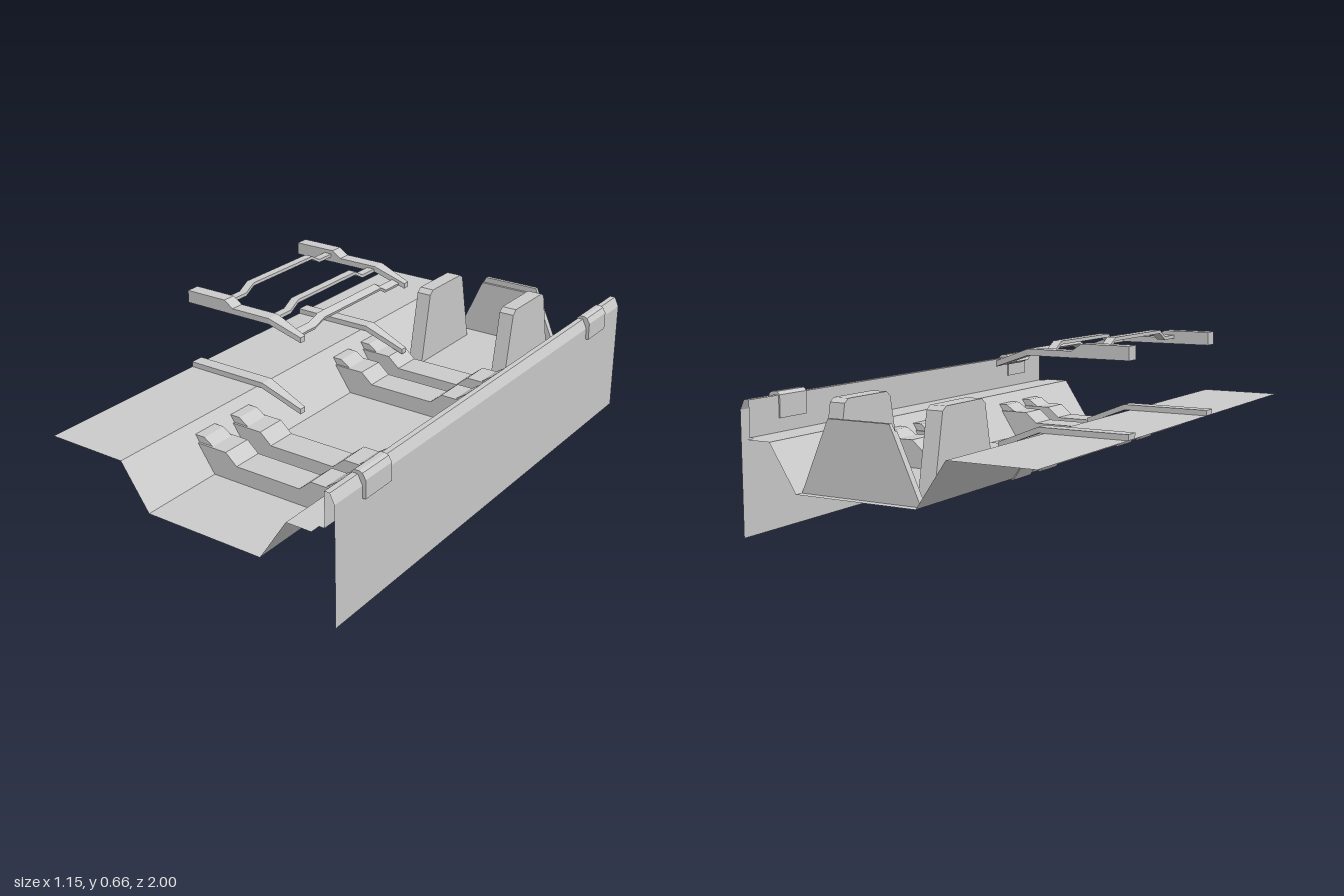
import * as THREE from 'three';

const mat = new THREE.MeshStandardMaterial({ color: 0xcccccc, flatShading: true, side: THREE.DoubleSide });

// Solid: x/y profile extruded from z0 to z1
function slab(name, pts, z0, z1) {
  const shape = new THREE.Shape(pts.map(p => new THREE.Vector2(p[0], p[1])));
  const geo = new THREE.ExtrudeGeometry(shape, { depth: z1 - z0, bevelEnabled: false });
  geo.translate(0, 0, z0);
  const mesh = new THREE.Mesh(geo, mat);
  mesh.name = name;
  return mesh;
}

// Solid: z/y profile extruded from x0 to x1
function sideSlab(name, pts, x0, x1) {
  const mesh = slab(name, pts.map(([z, y]) => [-z, y]), x0, x1);
  mesh.geometry.rotateY(Math.PI / 2);
  return mesh;
}

// Thin folded sheet: open x/y polyline swept along z
function sheet(name, pts, z0, z1) {
  const pos = [];
  for (let i = 0; i < pts.length - 1; i++) {
    const [ax, ay] = pts[i], [bx, by] = pts[i + 1];
    pos.push(ax, ay, z0, ax, ay, z1, bx, by, z1, ax, ay, z0, bx, by, z1, bx, by, z0);
  }
  const geo = new THREE.BufferGeometry();
  geo.setAttribute('position', new THREE.Float32BufferAttribute(pos, 3));
  geo.computeVertexNormals();
  const mesh = new THREE.Mesh(geo, mat);
  mesh.name = name;
  return mesh;
}

// Rail that narrows towards its drooping tip
function rail(name, pts, zc) {
  const mesh = slab(name, pts, -0.026, 0.026);
  const p = mesh.geometry.attributes.position;
  for (let i = 0; i < p.count; i++) if (p.getX(i) > -0.1) p.setZ(i, p.getZ(i) * 0.5);
  mesh.geometry.computeVertexNormals();
  mesh.position.z = zc;
  return mesh;
}

export function createModel() {
  const model = new THREE.Group();
  model.name = 'channelAssembly';

  // Folded channel with flat shelves on both sides
  model.add(sheet('channel', [[-0.575, 0.34], [-0.265, 0.34], [-0.155, 0.18],
    [0.305, 0.18], [0.41, 0.34], [0.505, 0.34]], -1, 1));

  // Side wall with chamfered top edge
  model.add(sheet('sideWall', [[0.505, 0.34], [0.525, 0.34], [0.525, 0.465], [0.545, 0.465],
    [0.562, 0.43], [0.562, 0]], -0.962, 0.962));

  // Clips over the wall top
  for (const z of [-0.745, 0.75]) {
    model.add(slab('wallClip', [[0.52, 0.387], [0.574, 0.387], [0.574, 0.452], [0.562, 0.472],
      [0.55, 0.477], [0.532, 0.477], [0.52, 0.466]], z - 0.07, z + 0.07));
  }

  // Cross ribs on the channel floor with angled end caps
  const cap = [[0.3, 0.28], [0.317, 0.305], [0.277, 0.305], [0.24, 0.28]];
  for (const z of [-0.367, -0.182, 0.433, 0.618]) {
    const rib = new THREE.Group();
    rib.name = 'crossRib';
    rib.add(slab('ribBody', [[-0.157, 0.175], [0.313, 0.175], [0.38, 0.28], [0.257, 0.28],
      [0.21, 0.24], [-0.055, 0.24], [-0.101, 0.28], [-0.224, 0.28]], -0.058, 0.058));
    for (const s of [-1, 1]) {
      rib.add(slab('ribCap', cap.map(([x, y]) => [0.076 + s * x, y]), -0.05, 0.05));
    }
    rib.position.z = z;
    model.add(rib);
  }

  // Tapered uprights near the back
  for (const x of [-0.143, 0.236]) {
    model.add(sideSlab('upright', [[-0.885, 0.18], [-0.525, 0.18], [-0.58, 0.455], [-0.6, 0.472],
      [-0.81, 0.472], [-0.83, 0.458]], x, x + 0.06));
  }

  // Trapezoid back plate with a thinner lip
  model.add(slab('backPlate', [[-0.155, 0.18], [0.305, 0.18], [0.206, 0.405], [-0.052, 0.405]], -0.97, -0.945));
  model.add(slab('backPlateLip', [[-0.052, 0.405], [0.206, 0.405], [0.195, 0.428], [-0.04, 0.428]], -0.97, -0.955));

  // Upper and lower rails
  for (const z of [-0.38, 0.278]) {
    model.add(rail('upperRail', [[-0.575, 0.598], [-0.2, 0.598], [-0.07, 0.553], [-0.07, 0.573],
      [-0.2, 0.62], [-0.365, 0.62], [-0.402, 0.645], [-0.575, 0.645]], z));
    model.add(rail('lowerRail', [[-0.575, 0.34], [-0.245, 0.34], [-0.077, 0.275], [-0.077, 0.295],
      [-0.24, 0.36], [-0.575, 0.36]], z));
  }

  // Raised cross bars joining the upper rails: x, top y, tilt
  for (const [x, y, tilt] of [[-0.425, 0.656, 0], [-0.219, 0.635, 0], [-0.1, 0.6, -0.34]]) {
    const top = [[-0.38, -0.026], [-0.275, -0.026], [-0.23, 0], [0.128, 0], [0.173, -0.026], [0.278, -0.026]];
    const under = top.map(([z, h]) => [z, h - 0.012]).reverse();
    const bar = sideSlab('crossBar', [...top, ...under], -0.016, 0.016);
    bar.position.set(x, y, 0);
    bar.rotation.z = tilt;
    model.add(bar);
  }
  return model;
}
